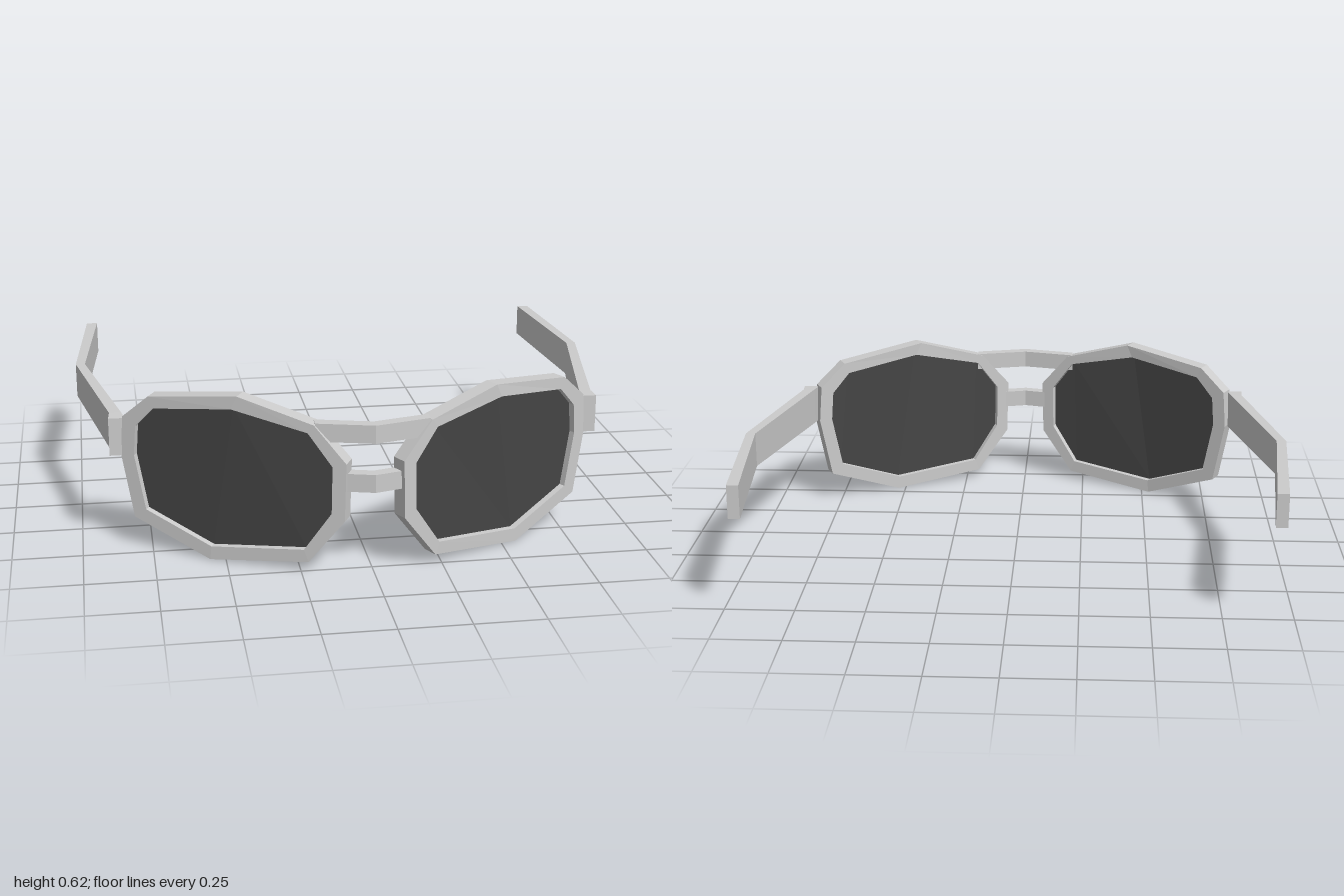
import * as THREE from 'three';

const grey = new THREE.MeshStandardMaterial({ color: 0xcccccc, flatShading: true });
const dark = new THREE.MeshStandardMaterial({ color: 0x444444, flatShading: true, side: THREE.DoubleSide });

// Skins a row of cross-sections; corners run anticlockwise seen from the far end.
// side = -1 builds the mirrored copy; closed joins the last section to the first.
function loft(name, material, sections, side = 1, closed = false) {
  const rows = sections.map(s => {
    const row = s.map(([x, y, z]) => [x * side, y, z]);
    return side < 0 ? row.reverse() : row;
  });
  const pos = [];
  const quad = (a, b, c, d) => pos.push(...a, ...b, ...c, ...a, ...c, ...d);
  const n = rows.length;
  for (let i = 0; i < (closed ? n : n - 1); i++) {
    const s = rows[i], t = rows[(i + 1) % n];
    for (let j = 0; j < 4; j++) {
      const k = (j + 1) % 4;
      quad(s[j], s[k], t[k], t[j]);
    }
  }
  if (!closed) {
    const [a, b, c, d] = rows[0];
    quad(d, c, b, a);
    quad(...rows[n - 1]);
  }
  const geometry = new THREE.BufferGeometry();
  geometry.setAttribute('position', new THREE.Float32BufferAttribute(pos, 3));
  geometry.computeVertexNormals();
  const mesh = new THREE.Mesh(geometry, material);
  mesh.name = name;
  return mesh;
}

// Rim outlines, starting at the nose and going over the top
const outer = [[0.10, 0.41], [0.205, 0.54], [0.455, 0.62], [0.75, 0.577], [0.84, 0.49],
  [0.85, 0.35], [0.81, 0.115], [0.555, 0], [0.225, 0.035], [0.105, 0.2]];
const inner = [[0.145, 0.395], [0.225, 0.51], [0.475, 0.572], [0.735, 0.535], [0.797, 0.46],
  [0.805, 0.35], [0.77, 0.15], [0.55, 0.05], [0.24, 0.08], [0.148, 0.225]];

// Point on the swept-back front, pushed in by a depth
function wrap([x, y], depth) {
  const z = x < 0.47 ? 0.81 - (x - 0.1) * 0.43 : 0.651 - (x - 0.47) * 0.62;
  return [x - 0.45 * depth, y, z - 0.89 * depth];
}

// Bar across the nose, bent at the middle
function bridge(name, halfWidth, y0, y1, zMid, zEnd) {
  const t = 0.045;
  return loft(name, grey, [[-halfWidth, zEnd], [0, zMid], [halfWidth, zEnd]].map(([x, z]) =>
    [[x, y1, z], [x, y0, z], [x, y0, z - t], [x, y1, z - t]]));
}

export function createModel() {
  const model = new THREE.Group();
  model.name = 'sunglasses';

  for (const side of [1, -1]) {
    const label = side > 0 ? 'left' : 'right';

    // Rim
    const rim = outer.map((o, i) =>
      [wrap(o, 0), wrap(inner[i], 0), wrap(inner[i], 0.06), wrap(o, 0.06)]);
    model.add(loft(label + 'Rim', grey, rim, side, true));

    // Lens, in vertical strips between upper and lower rim corners
    const strips = [0, 1, 2, 3, 4].map(i => {
      const top = inner[i], low = inner[9 - i];
      return [wrap(top, 0.025), wrap(low, 0.025), wrap(low, 0.038), wrap(top, 0.038)];
    });
    model.add(loft(label + 'Lens', dark, strips, side));

    // Temple arm: [outer x, inner x, z, bottom y, top y]
    const arm = [[0.89, 0.832, 0.418, 0.343, 0.482], [0.885, 0.842, 0.36, 0.345, 0.484],
      [1.0, 0.965, -0.24, 0.36, 0.488], [0.952, 0.91, -0.82, 0.368, 0.49]];
    model.add(loft(label + 'Temple', grey, arm.map(([o, n, z, y0, y1]) =>
      [[o, y1, z], [o, y0, z], [n, y0, z], [n, y1, z]]), side));
  }

  // Nose bridges
  model.add(bridge('upperBridge', 0.2, 0.48, 0.545, 0.812, 0.76));
  model.add(bridge('lowerBridge', 0.11, 0.305, 0.37, 0.82, 0.79));
  return model;
}
